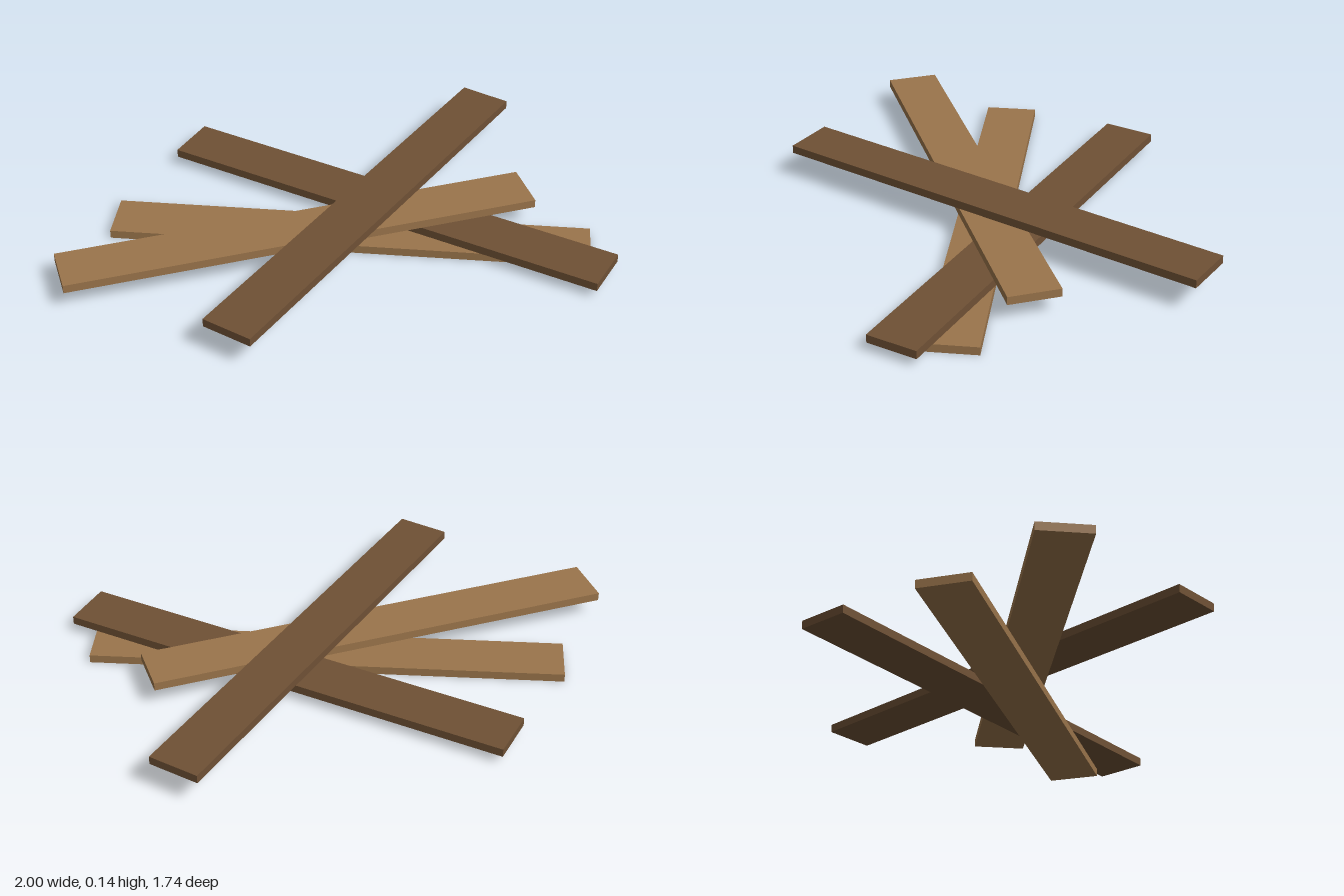
import * as THREE from 'three';

const LENGTH = 1.79, THICKNESS = 0.032, WIDTH = 0.198, STEP = 0.0347;

export function createModel() {
  const lightWood = new THREE.MeshStandardMaterial({ color: 0x9a744b });
  lightWood.name = 'lightWood';
  const darkWood = new THREE.MeshStandardMaterial({ color: 0x6f5135 });
  darkWood.name = 'darkWood';

  // Loose planks from the ground up: centre x, centre z, turn about y
  const planks = [
    ['bottomPlank', 0, 0.055, 0.1, lightWood],
    ['lowerPlank', 0.113, -0.115, -0.3, darkWood],
    ['upperPlank', -0.168, 0.165, 0.5, lightWood],
    ['topPlank', 0.056, 0, 1.2, darkWood],
  ];

  const pile = new THREE.Group();
  pile.name = 'plankPile';
  const board = new THREE.BoxGeometry(LENGTH, THICKNESS, WIDTH);
  planks.forEach(([name, x, z, turn, material], i) => {
    const plank = new THREE.Mesh(board, material);
    plank.name = name;
    plank.position.set(x, THICKNESS / 2 + i * STEP, z);
    plank.rotation.y = turn;
    pile.add(plank);
  });
  return pile;
}
